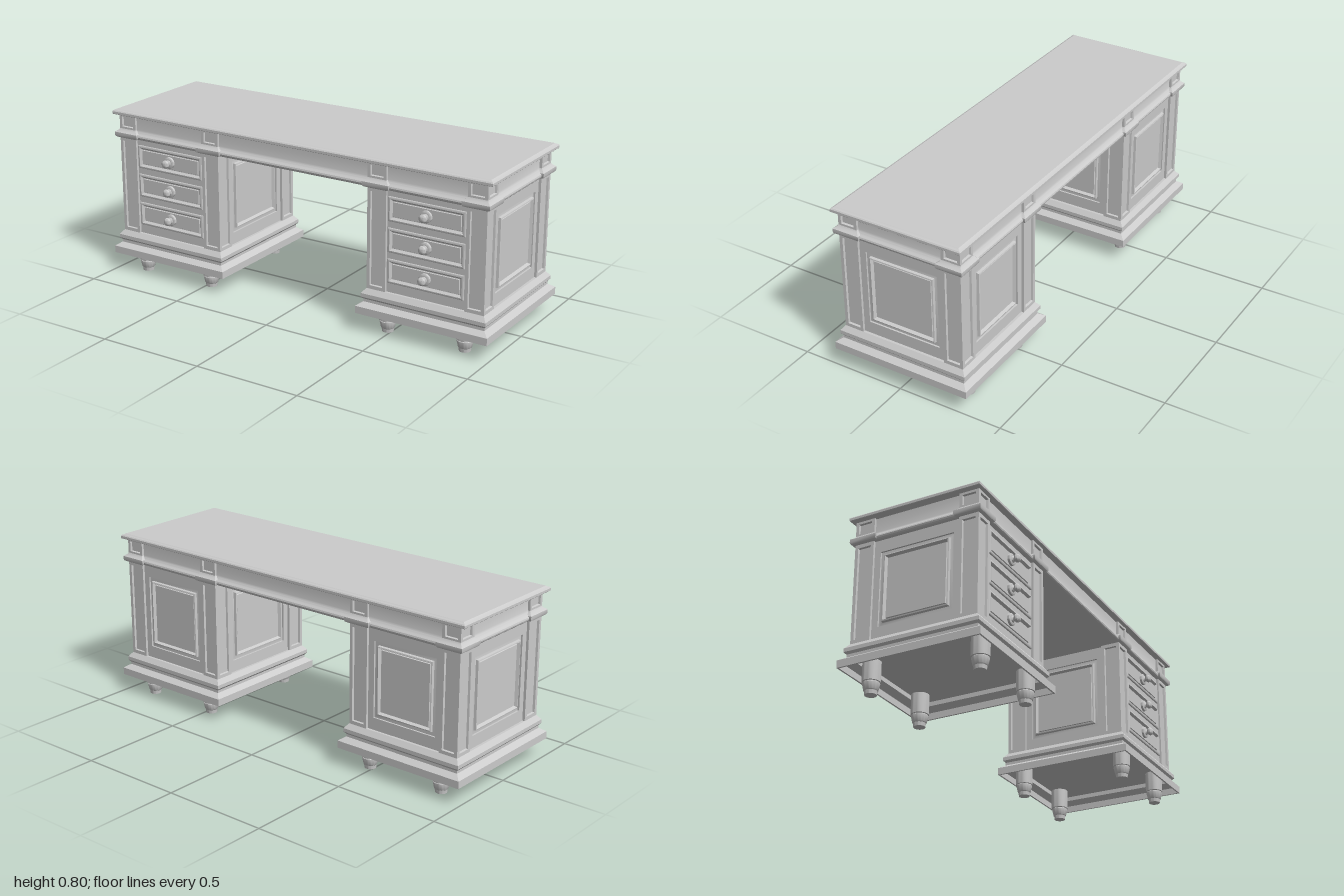
import * as THREE from 'three';
import { toCreasedNormals } from 'three/addons/utils/BufferGeometryUtils.js';

const material = new THREE.MeshStandardMaterial({ color: 0xcccccc });
const BODY_X = 0.285, BODY_Z = 0.3; // pedestal half sizes
const PED_X = 0.68;                 // pedestal centre
const POST = 0.0465;                // corner post half width
const BODY_Y0 = 0.195, BODY_Y1 = 0.662, TOP_Y = 0.774;
const SINK = 0.012;                 // panels lie this far behind the posts

// Stack of rectangles, capped at both ends; each step is [growX, y, growZ = growX].
function loft(hx, hz, steps) {
  const rings = steps.map(([g, y, gz = g]) =>
    [[-1, -1], [-1, 1], [1, 1], [1, -1]].map(([a, b]) => [a * (hx + g), y, b * (hz + gz)]));
  const pos = [];
  const quad = (a, b, c, d) => pos.push(...a, ...b, ...c, ...a, ...c, ...d);
  for (let i = 0; i + 1 < rings.length; i++) {
    for (let j = 0; j < 4; j++) {
      const k = (j + 1) % 4;
      quad(rings[i][j], rings[i][k], rings[i + 1][k], rings[i + 1][j]);
    }
  }
  const first = rings[0], last = rings[rings.length - 1];
  quad(first[3], first[2], first[1], first[0]);
  quad(...last);
  const geo = new THREE.BufferGeometry();
  geo.setAttribute('position', new THREE.Float32BufferAttribute(pos, 3));
  return toCreasedNormals(geo, 0.5);
}

function lathe(points) {
  const geo = new THREE.LatheGeometry(points.map(([r, y]) => new THREE.Vector2(r, y)), 28);
  return toCreasedNormals(geo, 0.6);
}

function add(parent, name, geo, x = 0, y = 0, z = 0) {
  const mesh = new THREE.Mesh(geo, material);
  mesh.name = name;
  mesh.position.set(x, y, z);
  parent.add(mesh);
}

// Turns geometry built along +y so that it faces sideways at the given angle (0 = front).
const face = (geo, angle) => geo.rotateX(Math.PI / 2).rotateY(angle);

function box(x0, x1, y0, y1, z0, z1) {
  return new THREE.BoxGeometry(x1 - x0, y1 - y0, z1 - z0)
    .translate((x0 + x1) / 2, (y0 + y1) / 2, (z0 + z1) / 2);
}

// Square post section with a sunk panel on its two outer faces.
function cornerPost(parent, name, x, z, sx, sz, y0, y1, borderX, borderY) {
  const d = 0.014, h = (y1 - y0) / 2, y = (y0 + y1) / 2;
  add(parent, name + 'Core', new THREE.BoxGeometry(2 * POST - d, 2 * h, 2 * POST - d),
    x - sx * d / 2, y, z - sz * d / 2);
  const panel = () => loft(POST, h, [[0, -d], [0, 0], [-borderX, 0, -borderY],
    [-borderX - 0.002, -0.01, -borderY - 0.002]]);
  add(parent, name + 'Panel', face(panel(), sz > 0 ? 0 : Math.PI), x, y, z + sz * POST);
  add(parent, name + 'Panel', face(panel(), sx * Math.PI / 2), x + sx * POST, y, z);
}

// Framed wall with a raised moulding around the field.
function framedWall(halfWidth, halfHeight) {
  const inset = (d, y) => [-(0.03 + d), y, -(0.058 + d)];
  return loft(halfWidth, halfHeight, [[0, -0.015], [0, 0], inset(0, 0), inset(0, -0.008),
    inset(0.018, -0.008), inset(0.02, 0.004), inset(0.025, 0.006), inset(0.031, -0.009),
    inset(0.034, -0.009), inset(0.036, -0.004)]);
}

function drawer(parent, y, z) {
  const group = new THREE.Group();
  group.name = 'drawer';
  group.position.set(0, y, z);
  parent.add(group);
  add(group, 'drawerFront', face(loft(0.184, 0.055, [[0, -0.01], [0, 0.007], [-0.006, 0.01],
    [-0.009, 0.01], [-0.018, 0], [-0.021, 0], [-0.023, 0.004]]), 0));
  // Back plate, waisted neck and round grip
  add(group, 'knob', face(lathe([[0, 0], [0.027, 0], [0.027, 0.014], [0.024, 0.016],
    [0.015, 0.016], [0.013, 0.019], [0.009, 0.022], [0.0085, 0.025], [0.012, 0.027],
    [0.0165, 0.03], [0.019, 0.036], [0.0175, 0.043], [0.012, 0.048], [0, 0.05]]), 0));
}

function pedestal() {
  const group = new THREE.Group();
  group.name = 'pedestal';
  const h = (BODY_Y1 - BODY_Y0) / 2, mid = (BODY_Y1 + BODY_Y0) / 2;
  // Stepped plinth, a hollow shell underneath
  add(group, 'plinth', loft(BODY_X, BODY_Z, [[-0.006, 0.15], [-0.006, 0.13], [0.028, 0.113],
    [0.028, 0.083], [0.036, 0.083], [0.036, 0.117], [0.009, 0.135], [0.009, 0.148],
    [0.018, 0.158], [0.018, 0.175], [0, 0.197]]));
  const ix = BODY_X - SINK - 0.012, iz = BODY_Z - SINK - 0.012;
  add(group, 'carcass', box(-ix, ix, BODY_Y0, BODY_Y1, -iz, iz));

  // Walls between the posts
  const wx = BODY_X - 2 * POST, wz = BODY_Z - 2 * POST;
  for (const s of [-1, 1]) {
    add(group, 'sidePanel', face(framedWall(wz, h), s * Math.PI / 2), s * (BODY_X - SINK), mid, 0);
  }
  add(group, 'backPanel', face(framedWall(wx, h), Math.PI), 0, mid, -(BODY_Z - SINK));
  add(group, 'frontRails', box(-wx, wx, BODY_Y0, BODY_Y1, iz - 0.01, BODY_Z - SINK));
  for (const y of [0.297, 0.438, 0.579]) drawer(group, y, BODY_Z - SINK);

  // Corner posts, flared collars and frieze blocks
  for (const sx of [-1, 1]) {
    for (const sz of [-1, 1]) {
      const x = sx * (BODY_X - POST), z = sz * (BODY_Z - POST);
      cornerPost(group, 'post', x, z, sx, sz, BODY_Y0, BODY_Y1, 0.015, 0.018);
      add(group, 'postCollar', loft(POST, POST, [[0.008, 0.661], [0.015, 0.665], [0.018, 0.671],
        [0.018, 0.687], [0.004, 0.697], [0, 0.704]]), x, 0, z);
      cornerPost(group, 'friezeBlock', x, z, sx, sz, 0.7, TOP_Y, 0.014, 0.013);
    }
  }
  return group;
}

export function createModel() {
  const desk = new THREE.Group();
  desk.name = 'desk';

  // Top with a rounded upper edge
  add(desk, 'desktop', loft(0.993, 0.318, [[-0.002, 0.772], [0, 0.774], [0, 0.785],
    [-0.004, 0.79], [-0.012, 0.793], [-0.016, 0.796]]));

  // Frieze flaring through a cove into a rounded lower edge
  add(desk, 'frieze', loft(PED_X + BODY_X - SINK, BODY_Z - SINK, [[0.006, 0.661], [0.013, 0.663],
    [0.018, 0.668], [0.02, 0.675], [0.018, 0.682], [0.013, 0.687], [0.007, 0.692],
    [0.003, 0.698], [0, 0.706], [0, TOP_Y]]));

  for (const s of [-1, 1]) {
    const ped = pedestal();
    ped.position.x = s * PED_X;
    desk.add(ped);
    // Turned feet
    for (const x of [0.481, 0.861]) {
      for (const z of [-0.258, 0.258]) {
        add(desk, 'foot', lathe([[0, 0], [0.026, 0], [0.028, 0.017], [0.031, 0.02],
          [0.038, 0.051], [0.036, 0.053], [0.036, 0.055], [0.04, 0.057], [0.04, 0.15]]),
          s * x, 0, z);
      }
    }
  }
  return desk;
}
